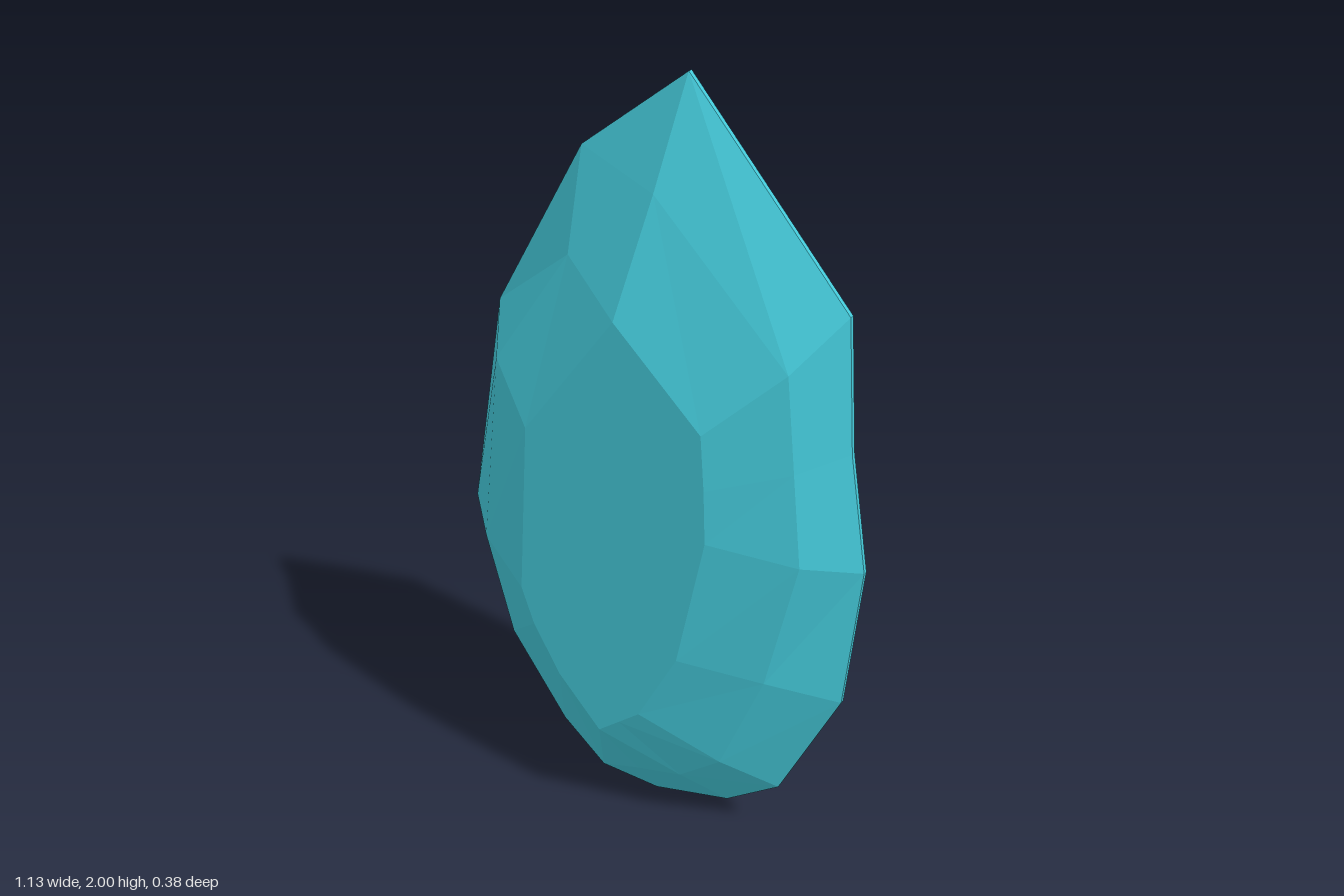
import * as THREE from 'three';

// One column per facet edge, clockwise from the tip:
// girdle x, y | break x, y, z | table x, y
const COLUMNS = [
  [0.08, 2.0, 0.05, 1.75, 0.1, 0.0, 1.47],
  [0.49, 1.53, 0.4, 1.41, 0.11, 0.23, 1.25],
  [0.515, 1.2, 0.425, 1.17, 0.11, 0.24, 1.11],
  [0.565, 0.9, 0.45, 0.93, 0.11, 0.245, 0.97],
  [0.53, 0.51, 0.37, 0.57, 0.11, 0.17, 0.61],
  [0.37, 0.17, 0.25, 0.27, 0.105, 0.06, 0.4],
  [0.22, 0.06, 0.13, 0.17, 0.1, 0.0, 0.35],
  [0.0, 0.0, 0.0, 0.135, 0.1, -0.06, 0.3],
  [-0.13, 0.035, -0.11, 0.1, 0.1, -0.06, 0.3],
  [-0.25, 0.08, -0.23, 0.21, 0.105, -0.18, 0.43],
  [-0.45, 0.33, -0.385, 0.44, 0.11, -0.255, 0.56],
  [-0.565, 0.755, -0.455, 0.72, 0.115, -0.29, 0.66],
  [-0.455, 1.35, -0.39, 1.25, 0.115, -0.255, 1.13],
  [-0.2, 1.79, -0.18, 1.56, 0.1, -0.255, 1.13],
];
const TABLE_Z = 0.19;
const GIRDLE_Z = 0.006;

// Points of one column from the front table to the back table
function columnPoints([gx, gy, bx, by, bz, tx, ty]) {
  return [
    [tx, ty, TABLE_Z], [bx, by, bz], [gx, gy, GIRDLE_Z],
    [gx, gy, -GIRDLE_Z], [bx, by, -bz], [tx, ty, -TABLE_Z],
  ];
}

function gemGeometry() {
  const cols = COLUMNS.map(columnPoints);
  const positions = [];
  const same = (p, q) => p.every((v, i) => v === q[i]);
  const tri = (p, q, r) => {
    if (same(p, q) || same(q, r) || same(p, r)) return;
    positions.push(...p, ...q, ...r);
  };
  cols.forEach((a, i) => {
    const b = cols[(i + 1) % cols.length];
    // Side facets
    for (let r = 0; r < 5; r++) {
      tri(a[r + 1], a[r], b[r]);
      tri(a[r + 1], b[r], b[r + 1]);
    }
    // Flat tables, front and back
    tri([-0.02, 0.85, TABLE_Z], b[0], a[0]);
    tri([-0.02, 0.85, -TABLE_Z], a[5], b[5]);
  });
  const geometry = new THREE.BufferGeometry();
  geometry.setAttribute('position', new THREE.Float32BufferAttribute(positions, 3));
  geometry.computeVertexNormals(); // unshared corners give flat facets
  return geometry;
}

export function createModel() {
  const group = new THREE.Group();
  group.name = 'gemstone';
  const material = new THREE.MeshStandardMaterial({ color: 0x44c8d8 });
  material.name = 'turquoise crystal';
  const gem = new THREE.Mesh(gemGeometry(), material);
  gem.name = 'facetedGem';
  group.add(gem);
  return group;
}
